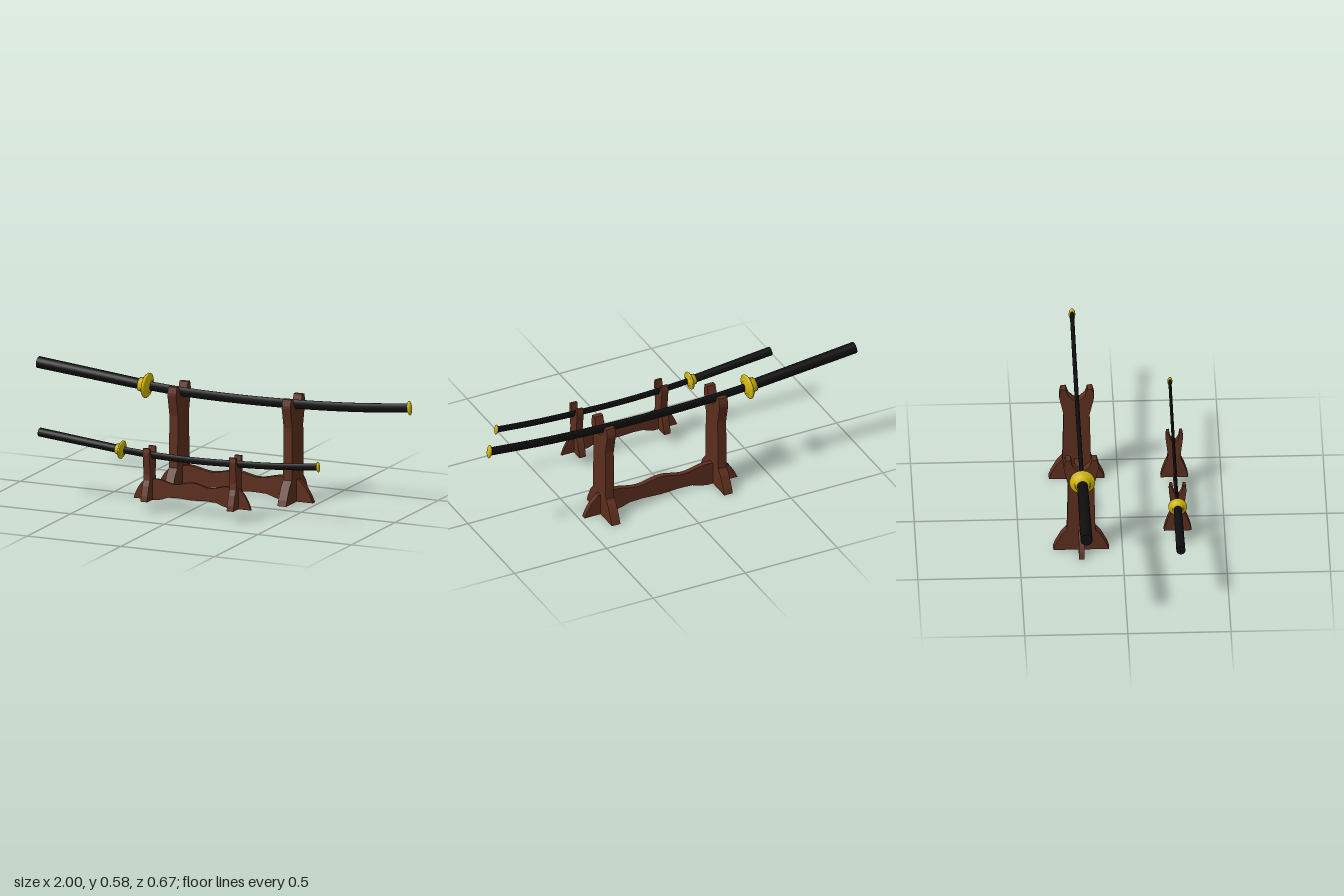
import * as THREE from 'three';

const wood = new THREE.MeshStandardMaterial({ color: 0x5c2e1e });
const black = new THREE.MeshStandardMaterial({ color: 0x0e0e0e });
const gold = new THREE.MeshStandardMaterial({ color: 0xd2b70e });

function add(parent, name, geometry, material) {
  const mesh = new THREE.Mesh(geometry, material);
  mesh.name = name;
  parent.add(mesh);
  return mesh;
}

// Closed shape from its right half, listed from bottom centre to top centre
function mirroredShape(half) {
  const left = half.filter(([x]) => x > 0).reverse().map(([x, y]) => [-x, y]);
  return new THREE.Shape([...half, ...left].map(([x, y]) => new THREE.Vector2(x, y)));
}

function slab(shape, depth) {
  return new THREE.ExtrudeGeometry(shape, { depth, bevelEnabled: false }).translate(0, 0, -depth / 2);
}

// Scalloped rail with a foot at each end and a shallow arch below
function railShape(sx, sy) {
  const s = new THREE.Shape();
  const lower = [[0, 0.02], [0.1, 0.025], [0.17, 0.022], [0.21, 0.008], [0.25, 0], [0.415, 0], [0.4, 0.035], [0.375, 0.075], [0.34, 0.11], [0.305, 0.115]];
  const top = [];
  for (let x = 0.29; x >= 0; x -= 0.0145) {
    const bump = 0.5 + 0.5 * Math.cos((x / 0.25) * Math.PI * 2);
    top.push([x, 0.1 + 0.02 * bump]);
  }
  const half = [...lower, ...top].map(([x, y]) => [x * sx, y * sy]);
  const pts = mirroredShape(half).getPoints();
  s.setFromPoints(pts);
  return s;
}

function makeStand(name, { profile, spacing, thickness, railScale, railDepth, position }) {
  const stand = new THREE.Group();
  stand.name = name;
  for (const side of [-1, 1]) {
    const post = add(stand, side < 0 ? 'rightUpright' : 'leftUpright', slab(mirroredShape(profile), thickness).rotateY(Math.PI / 2), wood);
    post.position.x = side * spacing / 2;
  }
  add(stand, 'rail', slab(railShape(...railScale), railDepth), wood);
  stand.position.set(...position);
  return stand;
}

function makeSword(name, { path, gripEnd, gripRadius, guardRadius, sheathRadius, flat, capRadius, z }) {
  const sword = new THREE.Group();
  sword.name = name;
  const points = path.map(([x, y]) => new THREE.Vector3(x, y, 0));
  const curve = new THREE.CatmullRomCurve3(points);
  const start = points[0];
  const end = new THREE.Vector3(gripEnd[0], gripEnd[1], 0);
  const axis = end.clone().sub(start);
  const turn = new THREE.Quaternion().setFromUnitVectors(new THREE.Vector3(0, 1, 0), axis.clone().normalize());

  // Curved scabbard, flattened sideways
  add(sword, 'scabbard', new THREE.TubeGeometry(curve, 40, sheathRadius, 16), black).scale.z = flat;

  // Grip, slightly wider at its end
  const grip = add(sword, 'grip', new THREE.CylinderGeometry(gripRadius, gripRadius * 0.9, axis.length(), 24), black);
  grip.position.copy(start).add(end).multiplyScalar(0.5);
  grip.quaternion.copy(turn);

  // Round guard with a collar on either side
  const g = guardRadius;
  const rings = [[0, -0.28], [0.5, -0.28], [0.52, -0.12], [0.92, -0.12], [1, -0.06], [1, 0.06], [0.92, 0.14], [0.68, 0.2], [0.66, 0.34], [0.58, 0.38], [0.56, 0.65], [0, 0.65]];
  const outline = [];
  for (const [r, y] of rings) outline.push(new THREE.Vector2(r * g, y * g));
  const guard = add(sword, 'guard', new THREE.LatheGeometry(outline, 32), gold);
  guard.position.copy(start);
  guard.quaternion.copy(turn);

  // Rounded metal end of the scabbard
  const tip = points[points.length - 1];
  const cap = add(sword, 'endCap', new THREE.SphereGeometry(1, 20, 14), gold);
  cap.scale.set(capRadius * 0.32, capRadius, capRadius * 0.45);
  cap.position.copy(tip);
  cap.rotation.z = 0.1;

  sword.position.z = z;
  return sword;
}

export function createModel() {
  const model = new THREE.Group();
  model.name = 'swordDisplay';

  model.add(
    makeStand('largeStand', {
      profile: [[0, 0], [0.135, 0], [0.125, 0.028], [0.095, 0.086], [0.069, 0.115], [0.063, 0.375], [0.085, 0.475], [0.084, 0.49], [0.076, 0.52], [0.052, 0.52], [0.04, 0.482], [0.012, 0.455], [0, 0.453]],
      spacing: 0.61, thickness: 0.046, railScale: [1, 1], railDepth: 0.026, position: [0.06, 0, -0.2],
    }),
    makeStand('smallStand', {
      profile: [[0, 0], [0.067, 0], [0.062, 0.026], [0.047, 0.074], [0.035, 0.1], [0.031, 0.13], [0.042, 0.225], [0.042, 0.238], [0.038, 0.26], [0.026, 0.26], [0.02, 0.225], [0.006, 0.203], [0, 0.202]],
      spacing: 0.46, thickness: 0.035, railScale: [0.754, 0.88], railDepth: 0.013, position: [0.045, 0.055, 0.27],
    }),
    makeSword('longSword', {
      path: [[-0.415, 0.494], [-0.2, 0.481], [0.1, 0.477], [0.4, 0.483], [0.7, 0.499], [0.985, 0.525]],
      gripEnd: [-0.997, 0.551], gripRadius: 0.029, guardRadius: 0.062, sheathRadius: 0.023, flat: 0.45, capRadius: 0.036, z: -0.2,
    }),
    makeSword('shortSword', {
      path: [[-0.335, 0.285], [-0.18, 0.275], [0.05, 0.27], [0.28, 0.276], [0.5, 0.287], [0.713, 0.306]],
      gripEnd: [-0.775, 0.328], gripRadius: 0.022, guardRadius: 0.045, sheathRadius: 0.017, flat: 0.45, capRadius: 0.027, z: 0.265,
    }),
  );
  return model;
}
